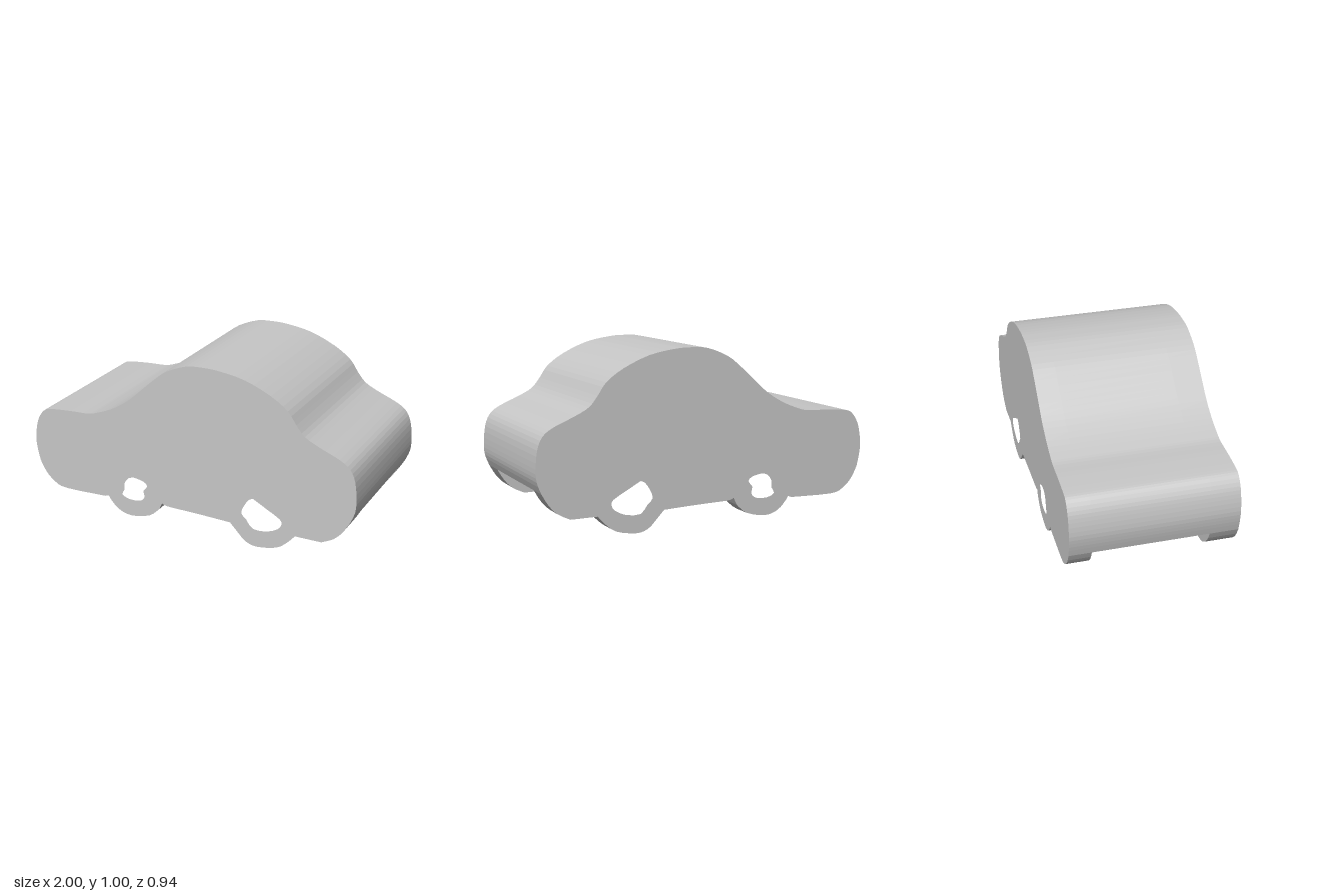
import * as THREE from 'three';

const HALF = 0.47, CEILING = 0.265;   // half depth, height of the underside slot
const SLOT = [-0.343, 0.308];         // slot limits in z

// Smooth curve through a few [x, y] points
const smooth = (pts, steps = 3) =>
  new THREE.SplineCurve(pts.map(p => new THREE.Vector2(...p))).getPoints((pts.length - 1) * steps);

// Upper silhouette, from the -x end over the roof to the +x end
const upper = smooth([
  [-0.978, CEILING], [-0.993, 0.33], [-1, 0.4], [-0.99, 0.48], [-0.97, 0.54], [-0.93, 0.59],
  [-0.88, 0.604], [-0.75, 0.613], [-0.64, 0.616], [-0.58, 0.63], [-0.48, 0.67], [-0.38, 0.73],
  [-0.3, 0.8], [-0.2, 0.89], [-0.12, 0.95], [0, 0.997], [0.1, 1.005], [0.2, 1], [0.35, 0.972],
  [0.5, 0.908], [0.6, 0.838], [0.65, 0.768], [0.7, 0.71], [0.78, 0.667], [0.9, 0.615],
  [0.96, 0.57], [0.99, 0.5], [1, 0.4], [0.995, 0.33], [0.97, CEILING],
]);

// Lower silhouette pieces, joined at sharp corners
const lower = [
  [[0.97, CEILING], [0.93, 0.2], [0.88, 0.15], [0.81, 0.115]],
  [[0.655, 0.117], [0.62, 0.078], [0.55, 0.025], [0.43, 0.003], [0.36, 0.022], [0.31, 0.07], [0.265, 0.118]],
  [[0.13, 0.125], [0, 0.13], [-0.13, 0.135], [-0.165, 0.146]],
  [[-0.185, 0.105], [-0.25, 0.052], [-0.37, 0.028], [-0.45, 0.052], [-0.5, 0.1], [-0.517, 0.126]],
  [[-0.54, 0.118], [-0.8, 0.116], [-0.88, 0.14], [-0.94, 0.195], [-0.978, CEILING]],
].flatMap(p => smooth(p));

// Wheel openings
const holes = [
  [[-0.345, 0.272], [-0.285, 0.26], [-0.258, 0.234], [-0.285, 0.2], [-0.277, 0.165], [-0.305, 0.135],
    [-0.375, 0.13], [-0.425, 0.152], [-0.408, 0.185], [-0.408, 0.225], [-0.38, 0.262], [-0.345, 0.272]],
  [[0.405, 0.29], [0.49, 0.243], [0.565, 0.2], [0.575, 0.172], [0.555, 0.14], [0.49, 0.11],
    [0.405, 0.108], [0.365, 0.155], [0.333, 0.19], [0.35, 0.238], [0.38, 0.28], [0.405, 0.29]],
].map(p => smooth(p, 2).slice(0, -1));

// Where the openings rise above the slot they leave shallow grooves in its ceiling
const grooves = [
  [0.45, CEILING], [0.405, 0.29], [0.38, 0.28], [0.368, CEILING],
  [-0.305, CEILING], [-0.345, 0.272], [-0.378, CEILING],
].map(p => new THREE.Vector2(...p));

export function createModel() {
  const model = new THREE.Group();
  model.name = 'car';
  const paint = new THREE.MeshStandardMaterial({ color: 0xc6c6c6 });
  paint.name = 'grey';

  const addSlab = (name, shape, z0, z1) => {
    const geo = new THREE.ExtrudeGeometry(shape, { depth: z1 - z0, bevelEnabled: false });
    geo.translate(0, 0, z0);
    const mesh = new THREE.Mesh(geo, paint);
    mesh.name = name;
    model.add(mesh);
  };

  // Side panels with wheel bumps and openings
  const side = new THREE.Shape([...upper, ...lower.slice(1, -1)]);
  side.holes = holes.map(h => new THREE.Path(h));
  addSlab('frontSide', side, SLOT[1], HALF);
  addSlab('backSide', side, -HALF, SLOT[0]);

  // Middle body above the slot
  addSlab('middleBody', new THREE.Shape([...upper, ...grooves]), SLOT[0], SLOT[1]);
  return model;
}
